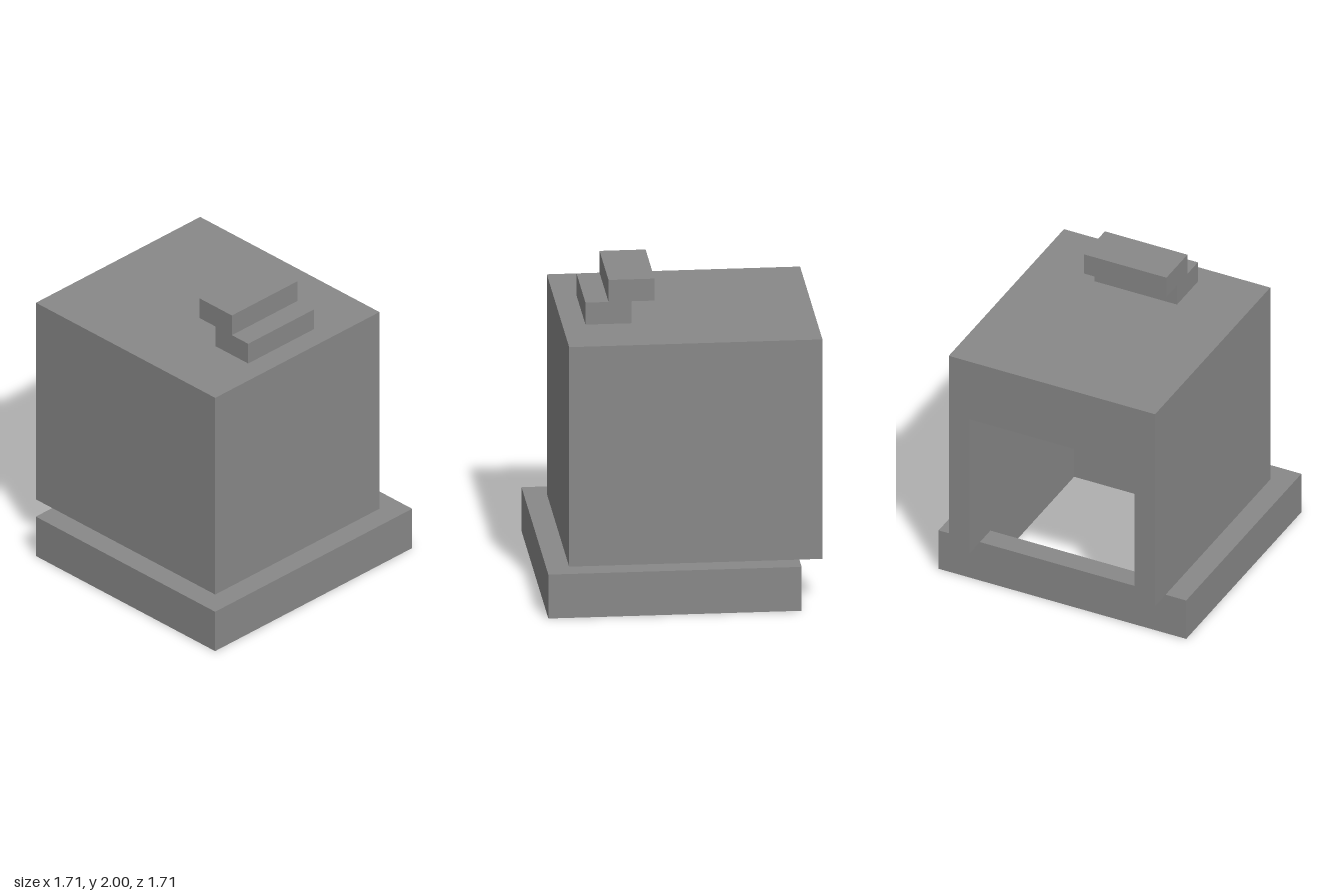
import * as THREE from 'three';

const U = 1 / 7; // one grid block

export function createModel() {
  const model = new THREE.Group();
  const grey = new THREE.MeshStandardMaterial({ color: 0x888888 });
  grey.name = 'grey';

  const add = (name, geometry, parent = model) => {
    const mesh = new THREE.Mesh(geometry, grey);
    mesh.name = name;
    parent.add(mesh);
    return mesh;
  };

  // Box given by its block limits
  const block = (name, [x0, x1], [y0, y1], [z0, z1], parent) => {
    const geometry = new THREE.BoxGeometry((x1 - x0) * U, (y1 - y0) * U, (z1 - z0) * U);
    geometry.translate(((x0 + x1) / 2) * U, ((y0 + y1) / 2) * U, ((z0 + z1) / 2) * U);
    return add(name, geometry, parent);
  };

  const outline = (points) => points.map(([x, y]) => new THREE.Vector2(x * U, y * U));
  const extrude = (shape, depth) =>
    new THREE.ExtrudeGeometry(shape, { depth: depth * U, bevelEnabled: false });

  // Base: wide rim with a square opening right through it
  const rim = new THREE.Shape(outline([[-6, -6], [6, -6], [6, 5], [-6, 5]]));
  rim.holes.push(new THREE.Path(outline([[-4, -4], [-4, 4], [4, 4], [4, -4]])));
  add('baseRim', extrude(rim, 2).rotateX(-Math.PI / 2));

  // Body: hollow shell, open below and at the back
  const shell = new THREE.Group();
  shell.name = 'bodyShell';
  model.add(shell);
  const arch = (name, innerTop, z, depth) => {
    const shape = new THREE.Shape(outline([
      [-5, 2], [-4, 2], [-4, innerTop], [4, innerTop],
      [4, 2], [5, 2], [5, 12], [-5, 12],
    ]));
    return add(name, extrude(shape, depth).translate(0, 0, z * U), shell);
  };
  arch('sidesAndRoof', 11, -5, 9);
  arch('backFrame', 9, -6, 1);
  block('frontWall', [-5, 5], [2, 12], [4, 5], shell);

  // Stepped crest on the roof, one profile swept across x
  const crest = new THREE.Shape(outline([
    [-4, 12], [-2, 12], [-2, 13], [-1, 13],
    [-1, 14], [-3, 14], [-3, 13], [-4, 13],
  ]));
  add('crest', extrude(crest, 4).rotateY(Math.PI / 2).translate(-2 * U, 0, 0));

  return model;
}
